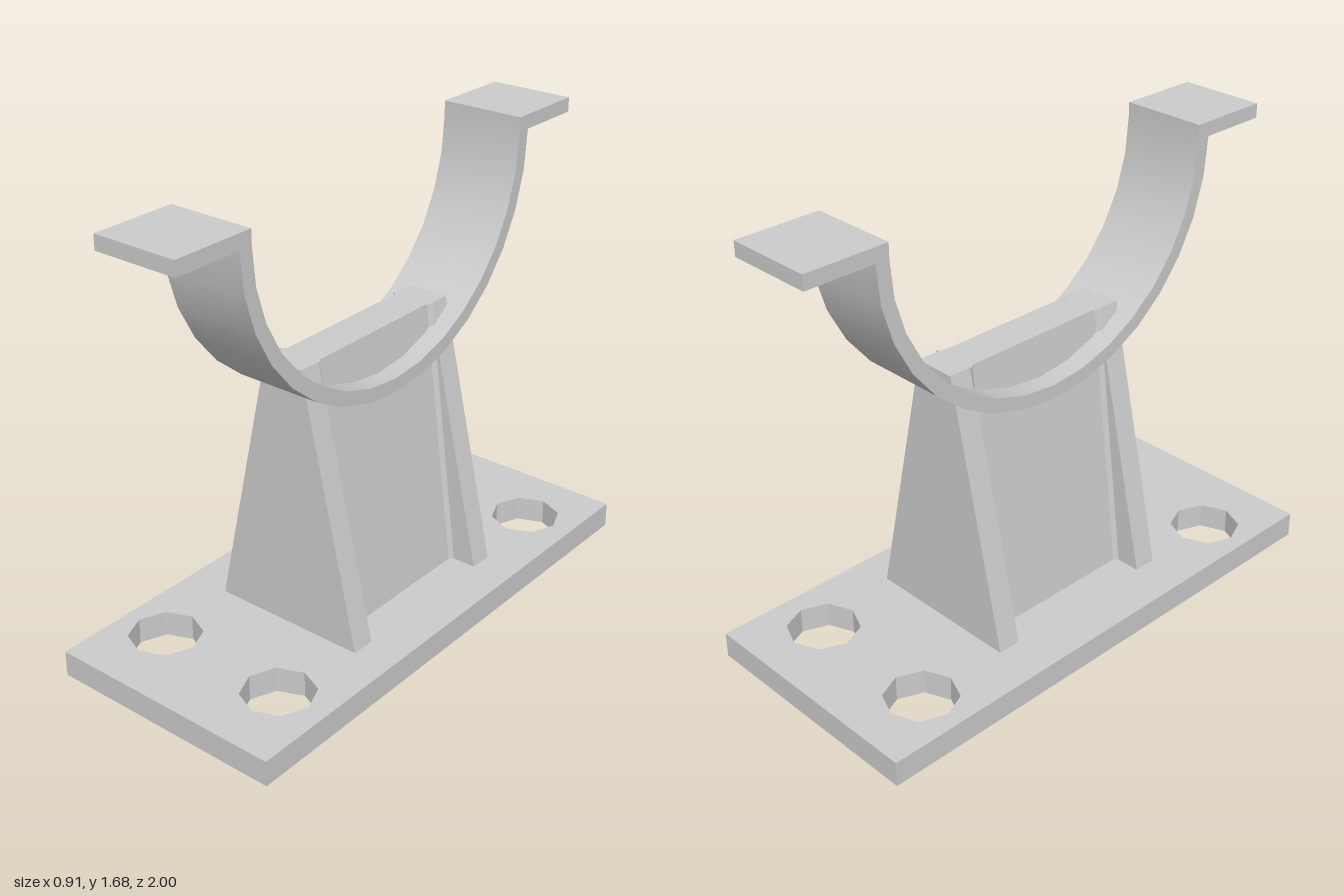
import * as THREE from 'three';
import { toCreasedNormals } from 'three/addons/utils/BufferGeometryUtils.js';

const BASE_TOP = 0.095, POST_TOP = 1.087, CENTRE_X = 0.0125;
const material = new THREE.MeshStandardMaterial({ color: 0xcccccc });

function part(name, geometry) {
  const mesh = new THREE.Mesh(geometry, material);
  mesh.name = name;
  return mesh;
}

const shapeOf = (points) => new THREE.Shape(points.map(([x, y]) => new THREE.Vector2(x, y)));

// Slab with four octagonal bolt holes
function basePlate() {
  const shape = shapeOf([[-0.455, -1], [0.455, -1], [0.455, 1], [-0.455, 1]]);
  for (const x of [-0.267, 0.251]) {
    for (const z of [-0.73, 0.71]) {
      const hole = [];
      for (let i = 0; i < 8; i++) {
        const a = -i * Math.PI / 4;
        hole.push(new THREE.Vector2(x + 0.13 * Math.cos(a), -z + 0.13 * Math.sin(a)));
      }
      shape.holes.push(new THREE.Path(hole));
    }
  }
  const geometry = new THREE.ExtrudeGeometry(shape, { depth: BASE_TOP, bevelEnabled: false });
  return part('basePlate', geometry.rotateX(-Math.PI / 2));
}

// Tapered end plate of the post
function endPlate(name, zMin, zMax) {
  const shape = shapeOf([[-0.3, BASE_TOP], [0.3, BASE_TOP], [0.0775, POST_TOP], [-0.0775, POST_TOP]]);
  const geometry = new THREE.ExtrudeGeometry(shape, { depth: zMax - zMin, bevelEnabled: false });
  return part(name, geometry.translate(CENTRE_X, 0, zMin));
}

// Web between the end plates: widens downwards, with small chamfers at the plates
function web() {
  const w = 0.07, c = 0.017, z1 = 0.288, z2 = 0.305;
  const height = POST_TOP - BASE_TOP;
  const shape = shapeOf([
    [-w - c, -z2], [w + c, -z2], [w, -z1], [w, z1],
    [w + c, z2], [-w - c, z2], [-w, z1], [-w, -z1],
  ]);
  const geometry = new THREE.ExtrudeGeometry(shape, { depth: height, bevelEnabled: false });
  geometry.rotateX(-Math.PI / 2);
  const p = geometry.attributes.position;
  for (let i = 0; i < p.count; i++) {
    const x = p.getX(i);
    p.setX(i, x + Math.sign(x) * 0.125 * (1 - p.getY(i) / height));
  }
  geometry.computeVertexNormals();
  return part('web', geometry.translate(CENTRE_X, BASE_TOP, 0));
}

// Half-round strap with a flat ear at each end, drawn in the z-y plane
function saddle() {
  const cy = 1.625, top = 1.678, outer = 0.74, inner = 0.688, steps = 16;
  const arc = (r) => Array.from({ length: steps + 1 }, (_, i) => {
    const a = Math.PI + i * Math.PI / steps;
    return [r * Math.cos(a), cy + r * Math.sin(a)];
  });
  const shape = shapeOf([
    [-1, top], [-1, cy], ...arc(outer), [1, cy], [1, top],
    [inner, top], ...arc(inner).reverse(), [-inner, top],
  ]);
  const geometry = new THREE.ExtrudeGeometry(shape, { depth: 0.322, bevelEnabled: false });
  geometry.rotateY(-Math.PI / 2).translate(0.172, 0, 0);
  return part('saddle', toCreasedNormals(geometry, 0.5));
}

export function createModel() {
  const model = new THREE.Group();
  model.name = 'pipeSaddleSupport';

  const post = new THREE.Group();
  post.name = 'post';
  post.add(web(), endPlate('frontPlate', 0.302, 0.39), endPlate('backPlate', -0.39, -0.302));

  model.add(basePlate(), post, saddle());
  return model;
}
